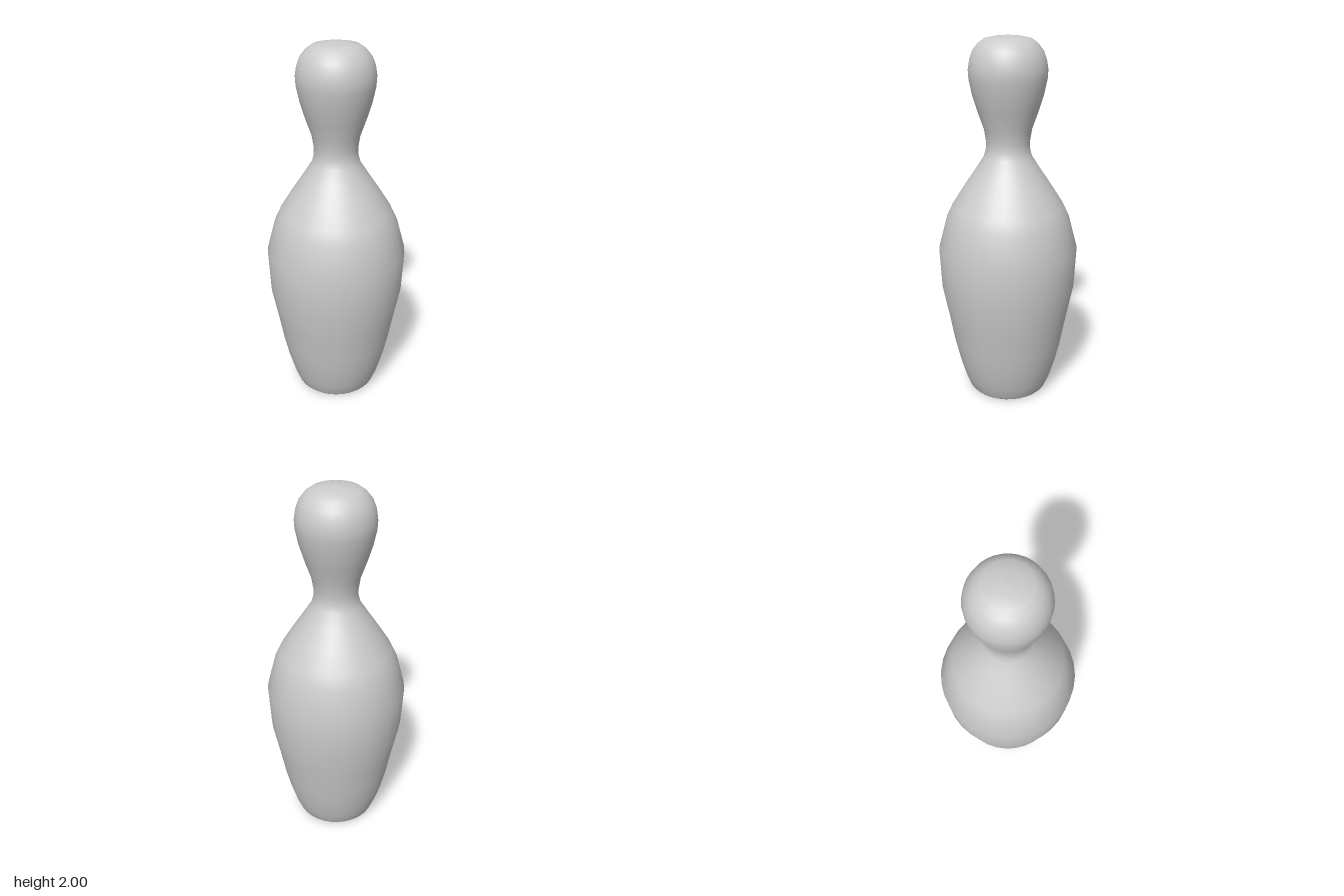
import * as THREE from 'three';

// Outline from the base centre to the crown: [radius, height]
const PROFILE = [
  [0, 0], [0.21, 0], [0.222, 0.012], [0.25, 0.08], [0.28, 0.18], [0.308, 0.3],
  [0.335, 0.45], [0.371, 0.63], [0.383, 0.86], [0.338, 1.03], [0.305, 1.1],
  [0.242, 1.2], [0.175, 1.3], [0.13, 1.37], [0.119, 1.41], [0.117, 1.45],
  [0.128, 1.52], [0.16, 1.61], [0.188, 1.7], [0.205, 1.78], [0.208, 1.83],
  [0.2, 1.88], [0.183, 1.925], [0.155, 1.96], [0.12, 1.985], [0.06, 1.996], [0, 2],
];

export function createModel() {
  const group = new THREE.Group();
  group.name = 'bowlingPin';

  // One smooth turned body with 32 sides
  const points = PROFILE.map(([r, y]) => new THREE.Vector2(r, y));
  const body = new THREE.Mesh(
    new THREE.LatheGeometry(points, 32),
    new THREE.MeshStandardMaterial({ color: 0xcccccc }),
  );
  body.name = 'pinBody';
  group.add(body);
  return group;
}
